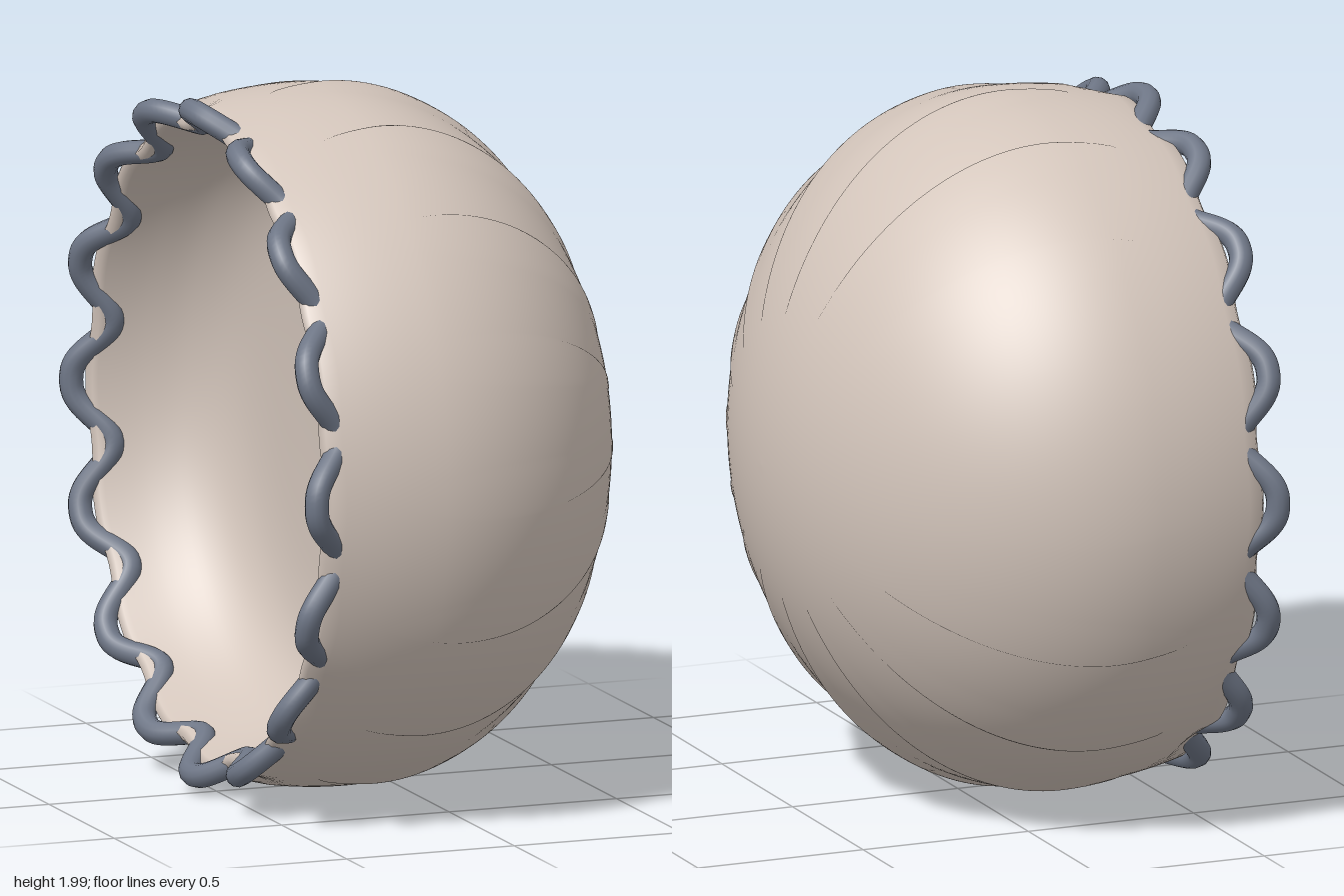
import * as THREE from 'three';

const RIBS = 16;
const R = 0.983; // widest radius of the shell
const WAIST = -0.2; // axial position of the widest ring
const FRONT = 0.794; // axial half-length on the domed side
const BACK = 1.1; // axial half-length on the open side

// Point on the outer profile: t = 0 at the pole, PI / 2 at the widest ring.
function profile(t) {
  const c = Math.cos(t);
  return new THREE.Vector2(R * Math.sin(t), WAIST + (c > 0 ? FRONT : BACK) * c);
}

// 0 at a rib, 1 halfway between two ribs.
function gap(angle) {
  return Math.pow((1 - Math.cos(RIBS * angle)) / 2, 1.3);
}

// Outer dome, rounded lip and dished inside, with the lip pinched between ribs.
function shellGeometry() {
  const dish = new THREE.SplineCurve([
    [0, -0.13], [0.3, -0.135], [0.55, -0.15], [0.7, -0.19], [0.8, -0.27], [0.86, -0.38], [0.9, -0.52],
  ].map(([r, y]) => new THREE.Vector2(r, y)));
  const pts = dish.getPoints(36);
  pts.push(new THREE.Vector2(0.92, -0.533));
  const rimT = Math.acos(-0.32 / BACK);
  for (let i = 48; i >= 0; i--) pts.push(profile((rimT * i) / 48));
  pts[0].x = pts[pts.length - 1].x = 0;

  const g = new THREE.LatheGeometry(pts, 192);
  const pos = g.attributes.position;
  for (let i = 0; i < pos.count; i++) {
    const x = pos.getX(i), y = pos.getY(i), z = pos.getZ(i);
    const near = THREE.MathUtils.smoothstep(-y, 0.4, 0.53);
    const k = 1 - 0.035 * near * gap(Math.atan2(x, z));
    pos.setXYZ(i, x * k, y, z * k);
  }
  return g;
}

// Leaf-shaped, barely raised rib following the shell, around the angle 0.
function ribGeometry() {
  const nu = 40, nv = 16;
  const t0 = Math.acos(-0.15 / BACK), t1 = 0.32;
  const pos = [], normals = [], idx = [];
  for (let i = 0; i <= nu; i++) {
    const s = i / nu;
    const t = t0 + (t1 - t0) * s;
    const p = profile(t);
    const leaf = Math.max(0, Math.sin(Math.PI * Math.pow(s, 0.63)));
    const n = new THREE.Vector2(Math.sin(t) / R, Math.cos(t) / (t < Math.PI / 2 ? FRONT : BACK)).normalize();
    for (let j = 0; j <= nv; j++) {
      const v = (j / nv) * 2 - 1;
      const h = 0.017 * leaf * (1 - v ** 6) - 0.001;
      const r = p.x + n.x * h;
      const a = (0.08 * leaf * v) / p.x;
      pos.push(r * Math.sin(a), p.y + n.y * h, r * Math.cos(a));
      normals.push(n.x * Math.sin(a), n.y, n.x * Math.cos(a));
      if (i < nu && j < nv) {
        const k = i * (nv + 1) + j;
        idx.push(k, k + 1, k + nv + 1, k + 1, k + nv + 2, k + nv + 1);
      }
    }
  }
  const g = new THREE.BufferGeometry();
  g.setAttribute('position', new THREE.Float32BufferAttribute(pos, 3));
  g.setAttribute('normal', new THREE.Float32BufferAttribute(normals, 3));
  g.setIndex(idx);
  return g;
}

// Closed cord looping out over the lip at each rib and inside the wall between.
class ScallopCurve extends THREE.Curve {
  getPoint(u, target = new THREE.Vector3()) {
    const a = u * Math.PI * 2;
    const w = gap(a);
    const r = 0.942 - 0.055 * w;
    return target.set(r * Math.sin(a), -0.567 + 0.095 * w, r * Math.cos(a));
  }
}

export function createModel() {
  const shellMat = new THREE.MeshStandardMaterial({ color: 0xd3c5bb });
  shellMat.name = 'warm beige';
  const cordMat = new THREE.MeshStandardMaterial({ color: 0x6e7686 });
  cordMat.name = 'slate grey';

  // Built around the y axis, then tipped so the opening faces -x.
  const bowl = new THREE.Group();
  bowl.name = 'bowl';
  bowl.rotation.z = -Math.PI / 2;
  bowl.position.y = 1;

  const shell = new THREE.Mesh(shellGeometry(), shellMat);
  shell.name = 'shell';
  bowl.add(shell);

  const ribGeo = ribGeometry();
  const ribs = new THREE.Group();
  ribs.name = 'ribs';
  for (let i = 0; i < RIBS; i++) {
    const rib = new THREE.Mesh(ribGeo, shellMat);
    rib.name = 'rib';
    rib.rotation.y = (i / RIBS) * Math.PI * 2;
    ribs.add(rib);
  }
  bowl.add(ribs);

  const cord = new THREE.Mesh(new THREE.TubeGeometry(new ScallopCurve(), 512, 0.034, 12, true), cordMat);
  cord.name = 'scallopedRimCord';
  bowl.add(cord);

  const model = new THREE.Group();
  model.name = 'scallopedBowl';
  model.add(bowl);
  return model;
}
